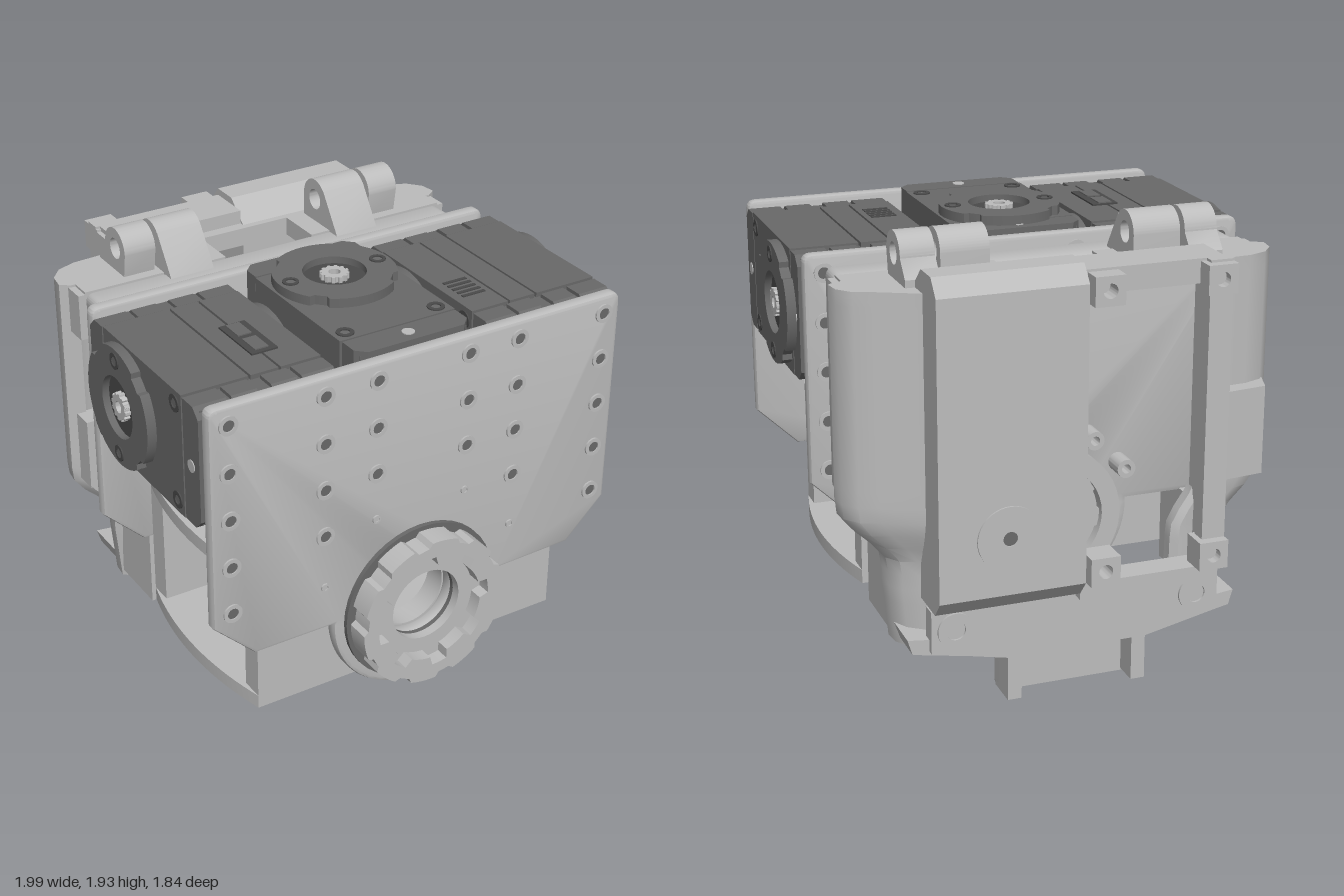
import * as THREE from 'three';
import { toCreasedNormals } from 'three/addons/utils/BufferGeometryUtils.js';

const material = (name, color) => {
  const m = new THREE.MeshStandardMaterial({ color });
  m.name = name;
  return m;
};

export function createModel() {
  const light = material('light grey plastic', 0xbcbcbc);
  const dark = material('dark grey casing', 0x696969);
  const black = material('dark recess', 0x4a4a4a);
  const root = new THREE.Group();

  // ---------- helpers ----------
  const add = (name, geo, mat, parent = root) => {
    const m = new THREE.Mesh(geo, mat);
    m.name = name;
    parent.add(m);
    return m;
  };
  const box = (name, x0, x1, y0, y1, z0, z1, mat = light, parent = root) =>
    add(name, new THREE.BoxGeometry(x1 - x0, y1 - y0, z1 - z0)
      .translate((x0 + x1) / 2, (y0 + y1) / 2, (z0 + z1) / 2), mat, parent);
  const poly = pts => new THREE.Shape(pts.map(p => new THREE.Vector2(...p)));
  const circle = (r, x = 0, y = 0) => new THREE.Path().absarc(x, y, r, 0, Math.PI * 2, false);
  const disc = (r, x = 0, y = 0) => new THREE.Shape().absarc(x, y, r, 0, Math.PI * 2, false);
  const holed = (shape, ...holes) => { shape.holes.push(...holes); return shape; };
  const extrude = (shape, depth, bevel = 0, steps = 1) => new THREE.ExtrudeGeometry(shape, {
    depth: depth - 2 * bevel, steps, curveSegments: 20, bevelEnabled: bevel > 0,
    bevelSize: bevel, bevelOffset: -bevel, bevelThickness: bevel, bevelSegments: 2,
  }).translate(0, 0, bevel);
  const alongZ = (s, z0, z1, bevel) => toCreasedNormals(extrude(s, z1 - z0, bevel).translate(0, 0, z0), 0.6);
  const alongY = (s, y0, y1, bevel) => // shape is (x, z)
    toCreasedNormals(extrude(s, y1 - y0, bevel).rotateX(Math.PI / 2).translate(0, y1, 0), 0.6);
  const alongX = (s, x0, x1, bevel) => // shape is (z, y)
    toCreasedNormals(extrude(s, x1 - x0, bevel).rotateY(-Math.PI / 2).translate(x1, 0, 0), 0.6);
  // toothed disc: radius switches between two values
  const toothed = (rOut, rIn, n, duty, phase = 0) => {
    const pts = [];
    for (let i = 0; i < 120; i++) {
      const t = i / 120;
      const r = ((t * n + phase) % 1) < duty ? rOut : rIn;
      pts.push([r * Math.cos(t * Math.PI * 2), r * Math.sin(t * Math.PI * 2)]);
    }
    return pts;
  };

  // ---------- front and back plates ----------
  const HUB = 0.635;
  const plateShape = (w, top, r, hole) => {
    const s = new THREE.Shape();
    s.moveTo(-w + 0.04, top).quadraticCurveTo(-w, top, -w, top - 0.04);
    s.lineTo(-w, 0.82).lineTo(-w + 0.18, 0.645).lineTo(-r, 0.645);
    s.absarc(0, HUB, r, Math.PI, Math.PI * 2, false);
    s.lineTo(w - 0.18, 0.645).lineTo(w, 0.82).lineTo(w, top - 0.04);
    s.quadraticCurveTo(w, top, w - 0.04, top);
    s.closePath();
    return holed(s, circle(hole, 0, HUB));
  };
  const screw = (x, y, z, dir, big) => {
    const g = new THREE.Group();
    g.name = 'plateScrew';
    g.position.set(x, y, z);
    if (dir < 0) g.rotation.y = Math.PI;
    root.add(g);
    const r = big ? 0.04 : 0.018;
    add('screwRing', alongZ(holed(disc(r), circle(r * 0.6)), 0, 0.008), light, g);
    add('screwSocket', alongZ(disc(r * 0.6), 0, 0.003), big ? dark : light, g);
  };
  for (const [name, z0, z1, dir] of [['frontPlate', 0.74, 0.8, 1], ['backPlate', -0.21, -0.15, -1]]) {
    add(name, alongZ(plateShape(0.94, 1.78, 0.4, 0.16), z0, z1, 0.015), light);
    const z = dir > 0 ? z1 : z0;
    for (const s of [-1, 1]) {
      for (const y of [1.705, 1.5, 1.295]) for (const x of [0.86, 0.445, 0.21]) screw(s * x, y, z, dir, true);
      for (const y of [1.085, 0.875]) screw(s * 0.86, y, z, dir, true);
      screw(s * 0.445, 1.085, z, dir, true);
      screw(s * 0.21, 1.085, z, dir, false);
      screw(s * 0.445, 0.845, z, dir, false);
    }
  }

  // ---------- front knob ----------
  const knob = new THREE.Group();
  knob.name = 'frontKnob';
  knob.position.set(0, HUB, 0);
  root.add(knob);
  add('knobBase', alongZ(holed(disc(0.355), circle(0.16)), 0.8, 0.82), dark, knob);
  add('knobRim', alongZ(holed(poly(toothed(0.335, 0.315, 10, 0.6)),
    new THREE.Path(poly(toothed(0.265, 0.225, 8, 0.35)).getPoints())), 0.82, 0.92), light, knob);
  add('knobFace', alongZ(holed(disc(0.28), circle(0.16)), 0.82, 0.86), light, knob);

  // ---------- servo: axis along local y ----------
  const servo = (name, x, rz) => {
    const g = new THREE.Group();
    g.name = name;
    g.position.set(x, 1.5, 0);
    g.rotation.z = rz;
    root.add(g);
    box('servoCore', -0.245, 0.245, -0.28, 0.28, -0.13, 0.72, dark, g);
    // stacked casing slices with thin seams between
    for (const [a, b] of [[-0.3, -0.125], [-0.115, 0.005], [0.015, 0.3]])
      box('casingSlice', -0.265, 0.265, a, b, -0.03, 0.61, dark, g);
    // end caps with chamfered tips and mounting notches
    for (const [za, zb, tip] of [[-0.15, -0.04, -0.15], [0.62, 0.74, 0.74]]) {
      const base = tip < 0 ? zb : za, k = Math.sign(tip - base) * 0.04;
      for (const [a, b] of [[-0.3, -0.16], [-0.14, -0.03], [0.03, 0.14], [0.16, 0.3]])
        add('endCap', alongY(poly([[-0.26, base], [-0.26, tip - k], [-0.22, tip],
          [0.22, tip], [0.26, tip - k], [0.26, base]]), a, b), dark, g);
    }
    for (const s of [-1, 1]) {
      const h = new THREE.Group();
      h.name = 'servoHorn';
      h.position.z = 0.145;
      if (s < 0) h.rotation.x = Math.PI;
      g.add(h);
      add('hornRing', alongY(holed(poly(toothed(0.255, 0.235, 4, 0.8, 0.4)), circle(0.13)), 0.3, 0.34), dark, h);
      add('hornRecess', alongY(disc(0.14), 0.29, 0.31), black, h);
      add('splineShaft', alongY(holed(poly(toothed(0.06, 0.052, 12, 0.5)), circle(0.025)), 0.3, 0.335), light, h);
      for (const sx of [-1, 1]) {
        add('hornScrew', alongY(holed(disc(0.034, sx * 0.205), circle(0.02, sx * 0.205)), 0.34, 0.345), black, h);
        add('casingScrew', alongY(holed(disc(0.036, sx * 0.21, s * 0.415),
          circle(0.02, sx * 0.21, s * 0.415)), 0.3, 0.305), black, h);
      }
      for (const z of [-0.09, 0.68])
        add('mountHole', alongY(disc(0.026, 0, s * (z - 0.145)), 0.3, 0.304), light, h);
    }
    return g;
  };
  servo('centreServo', 0, 0);
  servo('leftServo', 0.65, -Math.PI / 2);
  servo('rightServo', -0.65, Math.PI / 2);
  // cable socket and vents on the side servos
  box('cableSocket', -0.575, -0.46, 1.765, 1.772, 0.22, 0.48, black);
  for (const z of [0.23, 0.36]) box('socketPins', -0.55, -0.49, 1.772, 1.777, z, z + 0.1, dark);
  for (let i = 0; i < 5; i++) box('vent', 0.39, 0.5, 1.765, 1.769, 0.345 + i * 0.033, 0.36 + i * 0.033, black);

  // ---------- swivel frame ----------
  const slab = () => {
    const s = new THREE.Shape();
    s.moveTo(-0.72, -0.15).lineTo(0.72, -0.15).quadraticCurveTo(0.84, 0.295, 0.72, 0.74);
    s.lineTo(-0.72, 0.74).quadraticCurveTo(-0.84, 0.295, -0.72, -0.15);
    return holed(s, circle(0.16, 0, 0.295));
  };
  const wall = () => holed(poly([[-0.72, 0.38], [0.72, 0.38], [0.72, 0.9], [-0.72, 0.9]]), circle(0.16, 0, HUB));
  add('frameBottom', alongY(slab(), 0.32, 0.38), light);
  add('frameTop', alongY(slab(), 0.9, 0.96), light);
  add('frameFrontWall', alongZ(wall(), 0.64, 0.74), light);
  add('frameBackWall', alongZ(wall(), -0.15, -0.05), light);
  for (const [y0, y1, f0, f1, sc] of [[0.96, 1.1, 1.06, 1.1, 0.96], [0.18, 0.32, 0.18, 0.22, 0.29]]) {
    const sockets = new THREE.Group();
    sockets.name = 'pivotBoss';
    sockets.position.z = 0.295;
    root.add(sockets);
    add('bossTube', alongY(holed(disc(0.2), circle(0.16)), y0, y1), light, sockets);
    add('bossFlange', alongY(holed(poly(toothed(0.26, 0.21, 4, 0.4, 0.2)), circle(0.16)), f0, f1), light, sockets);
    for (let i = 0; i < 4; i++) {
      const a = Math.PI / 4 + i * Math.PI / 2;
      add('bossScrew', alongY(disc(0.038, 0.27 * Math.cos(a), 0.27 * Math.sin(a)), sc, sc + 0.03), light, sockets);
    }
  }

  // ---------- rear housing: collar and hub ----------
  add('rearCollar', alongZ(plateShape(0.86, 1.735, 0.38, 0.16), -0.4, -0.21, 0.03), light);
  add('rearHubRing', alongZ(holed(disc(0.31), circle(0.23)), -0.48, -0.4).translate(0, HUB, 0), light);
  add('rearHubTeeth', alongZ(holed(poly(toothed(0.25, 0.22, 8, 0.4)), circle(0.16)), -0.45, -0.4)
    .translate(0, HUB, 0), light);
  for (let i = 0; i < 5; i++) {
    const a = 0.5 + i * 0.53;
    add('rearBoss', alongZ(holed(disc(0.04), circle(0.02)), -0.5, -0.4)
      .translate(0.38 * Math.cos(a), HUB + 0.38 * Math.sin(a), 0), light);
  }

  // side walls, pulled inwards towards the bottom
  const inset = y => 1 - 0.2 * THREE.MathUtils.smoothstep(0.83 - y, 0, 0.25) - 0.03 * Math.max(0, (0.5 - y) / 0.3);
  for (const s of [-1, 1]) {
    const back = s > 0 ? -0.72 : -0.65;
    const profile = poly([[0.88, -0.47], [0.92, -0.5], [0.91, -0.57], [0.86, -0.63], [0.78, -0.66],
      [0.62, back - 0.02], [0.58, back], [0.58, -0.6], [0.76, -0.59], [0.83, -0.55], [0.85, -0.47]]
      .map(([x, z]) => [s * x, z]));
    const geo = extrude(profile, 1.5, 0, 24).rotateX(Math.PI / 2).translate(0, 1.74, 0);
    const p = geo.attributes.position;
    for (let i = 0; i < p.count; i++) p.setX(i, p.getX(i) * inset(p.getY(i)));
    add('housingSide', toCreasedNormals(geo, 0.6), light);

    const span = (a, b) => (s > 0 ? [a, b] : [-b, -a]);
    // strips above and below the side slot
    box('slotUpperStrip', ...span(0.8, 0.89), 1.53, 1.73, -0.48, -0.38);
    box('slotLowerStrip', ...span(0.8, 0.89), 0.82, 1.14, -0.48, -0.38);
    box('lowerSideLink', ...span(0.62, 0.71), 0.27, 0.66, -0.49, -0.21);
    box('housingRoof', ...span(0.21, 0.86), 1.66, 1.74, -0.62, -0.38);
    // sloping floor
    add('housingFloor', alongZ(poly([[0.21, 0.2], [0.35, 0.2], [0.69, 0.265], [0.71, 0.33], [0.21, 0.27]]
      .map(([x, y]) => [s * x, y])), -0.76, -0.46), light);
    // hinges
    const hook = new THREE.Shape();
    hook.moveTo(-0.31, 1.7).lineTo(-0.32, 1.74).lineTo(-0.43, 1.9);
    hook.absarc(-0.5, 1.84, 0.09, 0.7, Math.PI, false);
    hook.lineTo(-0.59, 1.7);
    add('hingeHook', alongX(holed(hook, circle(0.045, -0.5, 1.84)), ...span(0.3, 0.5)), light);
    const lug = new THREE.Shape();
    lug.moveTo(-0.43, 1.72).lineTo(-0.41, 1.84);
    lug.absarc(-0.5, 1.84, 0.09, 0, Math.PI, false);
    lug.lineTo(-0.65, 1.77).lineTo(-0.65, 1.7);
    add('hingeLug', alongX(holed(lug, circle(0.045, -0.5, 1.84)), ...span(0.52, 0.66)), light);
    add('lowerSocket', alongZ(holed(disc(0.075), circle(0.04)), -0.8, -0.7).translate(s * 0.52, 0.36, 0), light);
  }
  box('floorCentre', -0.22, 0.22, 0.2, 0.27, -0.76, -0.6);
  box('roofCentre', -0.22, 0.22, 1.66, 1.74, -0.66, -0.59);
  add('lowerBackWall', alongZ(poly([[-0.62, 0.27], [-0.3, 0.2], [0.3, 0.2], [0.62, 0.27], [0.62, 0.45], [-0.62, 0.45]]),
    -0.79, -0.72), light);

  // ---------- rear cover panel ----------
  add('coverPanel', alongX(poly([[-0.62, 1.74], [-0.72, 1.83], [-0.84, 1.83], [-0.9, 1.76],
    [-0.9, 0.53], [-0.84, 0.46], [-0.62, 0.46]]), 0.01, 0.62), light);
  add('coverDial', alongZ(holed(disc(0.135), circle(0.03)), -0.908, -0.9).translate(0.33, 0.77, 0), light);
  add('dialCentre', alongZ(disc(0.03), -0.903, -0.9).translate(0.33, 0.77, 0), dark);

  // ---------- open rear rack ----------
  box('rackRail', -0.6, -0.5, 0.5, 1.8, -0.88, -0.81);
  box('rackSideWall', -0.6, -0.56, 0.46, 1.78, -0.82, -0.62);
  box('rackTop', -0.58, 0.01, 1.7, 1.8, -0.84, -0.64);
  box('rackBottom', -0.58, 0.01, 0.43, 0.5, -0.84, -0.72);
  for (const y of [0.515, 1.67]) for (const x of [-0.6, -0.13])
    add('rackTab', alongZ(holed(poly([[x, y], [x + 0.125, y], [x + 0.125, y + 0.12], [x, y + 0.12]]),
      circle(0.03, x + 0.0625, y + 0.06)), -0.92, -0.8), light);
  add('sideBlock', alongY(poly([[-0.88, -0.6], [-0.84, -0.72], [-0.66, -0.74], [-0.64, -0.6]]), 0.82, 1.2), light);

  // ---------- lower tongue ----------
  const tongue = new THREE.Shape();
  tongue.moveTo(-0.3, 0.24).lineTo(-0.3, 0.03).quadraticCurveTo(-0.3, 0, -0.27, 0);
  tongue.lineTo(0.27, 0).quadraticCurveTo(0.3, 0, 0.3, 0.03).lineTo(0.3, 0.24);
  add('tongue', alongZ(tongue, -0.68, -0.63), light);
  for (const x of [-0.3, 0.24]) box('tongueLeg', x, x + 0.06, 0.01, 0.24, -0.79, -0.64);

  return root;
}
